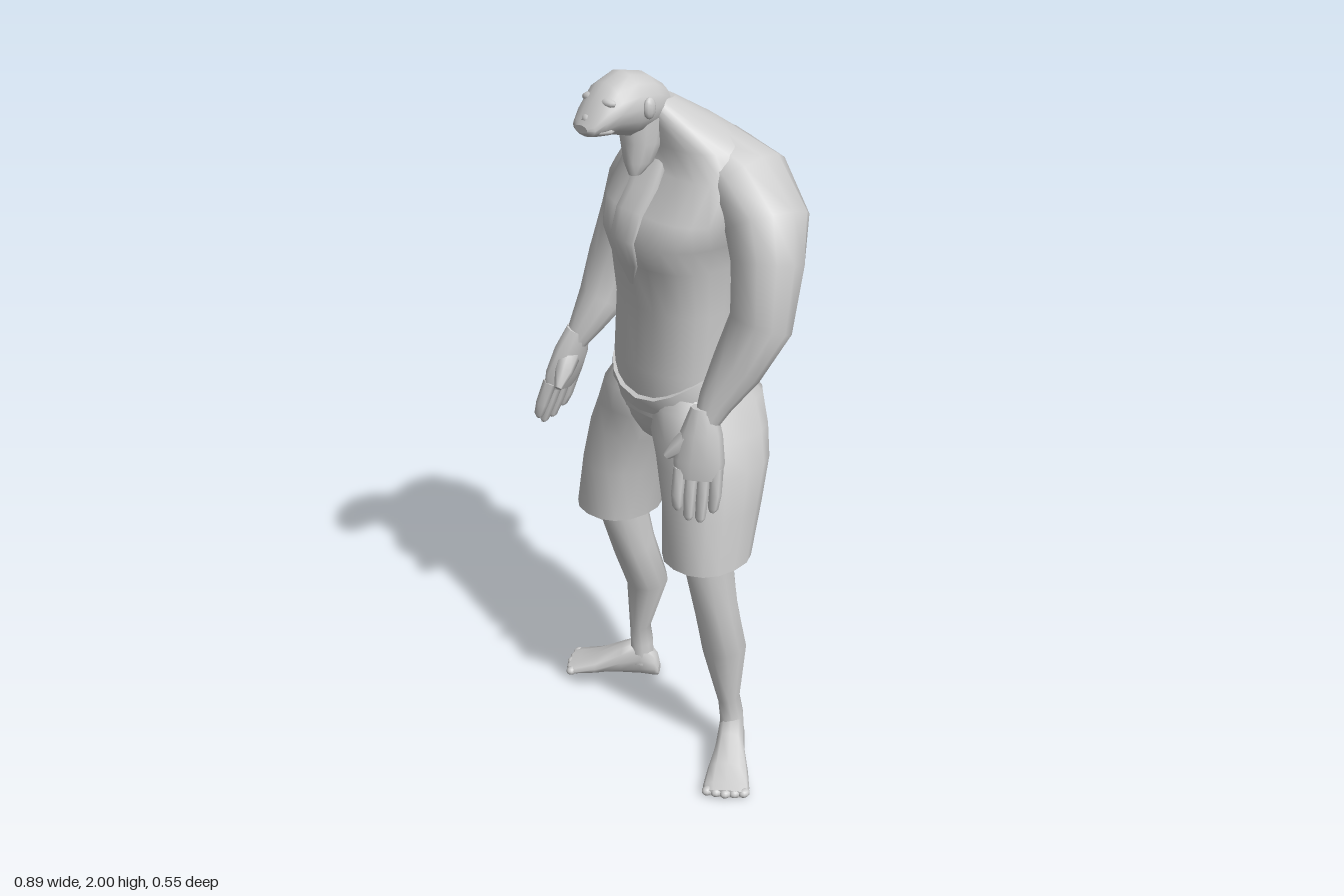
import * as THREE from 'three';

const V = (x, y, z) => new THREE.Vector3(x, y, z);
const grey = new THREE.MeshStandardMaterial({ color: 0xcccccc, side: THREE.DoubleSide });

// Skin through oval cross-sections [x, y, z, a, b, power]: a lies along ref, b across it.
// A fixed dir keeps every section parallel; power < 1 squares the ovals off.
function loft(name, rings, { n = 12, ref = V(1, 0, 0), dir = null, power = 1, bend = null } = {}) {
  const pos = [], idx = [];
  const at = rings.map(r => V(r[0], r[1], r[2]));
  const last = rings.length - 1;
  rings.forEach((r, i) => {
    const d = dir ? dir.clone() : at[Math.min(i + 1, last)].clone().sub(at[Math.max(i - 1, 0)]).normalize();
    const u = ref.clone().addScaledVector(d, -ref.dot(d)).normalize();
    const v = d.clone().cross(u);
    const bulge = t => Math.sign(t) * Math.abs(t) ** (r[5] ?? power);
    for (let j = 0; j < n; j++) {
      const t = j / n * Math.PI * 2;
      const p = at[i].clone().addScaledVector(u, bulge(Math.cos(t)) * r[3]).addScaledVector(v, bulge(Math.sin(t)) * r[4]);
      if (bend) bend(p);
      pos.push(p.x, p.y, p.z);
    }
  });
  for (let i = 0; i < last; i++) for (let j = 0; j < n; j++) {
    const a = i * n + j, b = i * n + (j + 1) % n;
    idx.push(a, b, a + n, b, b + n, a + n);
  }
  // end caps on their own vertices, so the rims stay sharp
  for (const [i, flip] of [[0, true], [last, false]]) {
    const base = pos.length / 3, c = V(0, 0, 0);
    for (let j = 0; j < n; j++) {
      const k = (i * n + j) * 3;
      pos.push(pos[k], pos[k + 1], pos[k + 2]);
      c.add(V(pos[k], pos[k + 1], pos[k + 2]));
    }
    c.divideScalar(n);
    pos.push(c.x, c.y, c.z);
    for (let j = 0; j < n; j++) {
      const p = base + j, q = base + (j + 1) % n;
      idx.push(base + n, flip ? q : p, flip ? p : q);
    }
  }
  const g = new THREE.BufferGeometry();
  g.setAttribute('position', new THREE.Float32BufferAttribute(pos, 3));
  g.setIndex(idx);
  g.computeVertexNormals();
  const m = new THREE.Mesh(g, grey);
  m.name = name;
  return m;
}

function blob(name, x, y, z, sx, sy, sz) {
  const m = new THREE.Mesh(new THREE.SphereGeometry(1, 10, 8), grey);
  m.name = name;
  m.position.set(x, y, z);
  m.scale.set(sx, sy, sz);
  return m;
}

function group(name, ...parts) {
  const g = new THREE.Group();
  g.name = name;
  g.add(...parts);
  return g;
}

// Palm, four fingers and a thumb, fanned along the spread direction
function hand(name, wrist, tip, spread, thumb) {
  const along = (t, s = 0) => wrist.clone().lerp(tip, t).addScaledVector(spread, s);
  const ring = (p, a, b) => [p.x, p.y, p.z, a, b];
  const g = group(name, loft('palm', [
    ring(along(-0.15), 0.034, 0.034), ring(along(0.1), 0.056, 0.042),
    ring(along(0.38), 0.068, 0.034), ring(along(0.56), 0.061, 0.022)], { n: 10, ref: spread }));
  [0.88, 0.98, 1, 0.9].forEach((len, i) => {
    const s = (i - 1.5) * 0.032;
    g.add(loft('finger', [
      ring(along(0.45, s), 0.0185, 0.021), ring(along(0.72, s * 1.05), 0.017, 0.019),
      ring(along(len - 0.04, s), 0.014, 0.014), ring(along(len, s * 0.95), 0.007, 0.007)], { n: 6, ref: spread }));
  });
  const root = along(0.06), mid = root.clone().lerp(thumb, 0.6);
  g.add(loft('thumb', [ring(root, 0.036, 0.036), ring(mid, 0.027, 0.027), ring(thumb, 0.011, 0.011)], { n: 7, ref: V(0, 0, 1) }));
  return g;
}

// Foot running from heel to toes, turned outwards
function foot(name, x, z, angle) {
  const f = V(Math.sin(angle), 0, Math.cos(angle)), side = V(f.z, 0, -f.x);
  const sections = [[-0.055, 0.03, 0.02], [-0.045, 0.07, 0.034], [0, 0.13, 0.038], [0.06, 0.1, 0.042],
    [0.14, 0.055, 0.058], [0.2, 0.034, 0.066], [0.225, 0.026, 0.062]];
  const g = group(name, loft('instep', sections.map(([t, h, w]) =>
    [x + f.x * t, h / 2 + 0.003, z + f.z * t, w, h / 2]), { n: 12, ref: side, dir: f, power: 0.85 }));
  for (let i = 0; i < 5; i++) {
    const s = (i - 2) * 0.026, reach = 0.223 - Math.abs(i - 2) * 0.004;
    g.add(blob('toe', x + f.x * reach + side.x * s, 0.016, z + f.z * reach + side.z * s, 0.015, 0.013, 0.018));
  }
  return g;
}

export function createModel() {
  const model = group('figure');
  const up = V(0, 1, 0);

  // Torso: hunched and broad across the shoulder blades, the left shoulder swung forward
  model.add(loft('torso', [
    [0, 1.06, 0.012, 0.172, 0.13], [0, 1.2, 0.015, 0.177, 0.136], [0, 1.37, 0, 0.178, 0.142],
    [0, 1.5, -0.015, 0.19, 0.18, 0.8], [0, 1.57, -0.03, 0.207, 0.215, 0.72], [0.005, 1.64, -0.06, 0.235, 0.217, 0.68],
    [0.005, 1.735, -0.085, 0.235, 0.168, 0.72], [0, 1.805, -0.045, 0.195, 0.125, 0.8], [-0.012, 1.865, 0.005, 0.118, 0.09],
    [-0.035, 1.92, 0.055, 0.055, 0.05]], {
    n: 24, dir: up, power: 0.85,
    bend: p => {
      const t = THREE.MathUtils.smoothstep(p.y, 1.3, 1.6) * (1 - THREE.MathUtils.smoothstep(p.y, 1.72, 1.85));
      if (p.z < -0.05) p.z += 0.045 * t * Math.exp(-((p.x / 0.08) ** 2));
      p.z += 0.09 * t * p.x;
    } }));
  // Bare chest showing in the open collar
  model.add(loft('openCollar', [
    [-0.015, 1.76, 0.075, 0.055, 0.012], [-0.01, 1.69, 0.118, 0.056, 0.013], [-0.01, 1.64, 0.157, 0.054, 0.012],
    [-0.01, 1.57, 0.183, 0.05, 0.011], [-0.012, 1.5, 0.164, 0.038, 0.01], [-0.012, 1.44, 0.15, 0.008, 0.006]],
  { n: 10, power: 0.8 }));

  // Head, pitched forward, with an open jaw
  const hx = -0.045;
  const head = group('head',
    loft('skull', [[hx, 1.9, 0.01, 0.025, 0.02], [hx, 1.9, 0.035, 0.06, 0.052], [hx, 1.91, 0.085, 0.08, 0.075],
      [hx, 1.915, 0.15, 0.084, 0.084], [hx, 1.912, 0.205, 0.074, 0.066], [hx, 1.893, 0.245, 0.058, 0.044],
      [hx, 1.876, 0.272, 0.044, 0.022], [hx, 1.874, 0.282, 0.024, 0.01]], { n: 16, dir: V(0, 0, 1) }),
    loft('jaw', [[-0.014, 1.733, 0.135, 0.014, 0.018], [-0.018, 1.765, 0.118, 0.036, 0.042],
      [-0.028, 1.815, 0.102, 0.056, 0.053], [-0.038, 1.88, 0.09, 0.068, 0.065]], { n: 12, dir: up }),
    blob('nose', hx, 1.895, 0.255, 0.02, 0.016, 0.02),
    blob('upperLip', hx, 1.868, 0.23, 0.057, 0.016, 0.044));
  for (const s of [-1, 1]) {
    head.add(blob('ear', hx + s * 0.083, 1.915, 0.13, 0.012, 0.028, 0.019),
      blob('brow', hx + s * 0.033, 1.936, 0.222, 0.028, 0.013, 0.016),
      blob('eye', hx + s * 0.032, 1.922, 0.233, 0.011, 0.008, 0.008));
  }
  model.add(head);

  // Arms grow out of the shoulder slope and hang differently on each side
  model.add(group('leftArm',
    loft('sleeve', [[0.08, 1.79, -0.05, 0.07, 0.08], [0.19, 1.728, -0.065, 0.092, 0.12], [0.272, 1.635, -0.058, 0.097, 0.122],
      [0.3, 1.54, -0.035, 0.092, 0.102], [0.32, 1.39, 0.005, 0.09, 0.075], [0.286, 1.27, 0.055, 0.074, 0.062],
      [0.262, 1.18, 0.105, 0.05, 0.045], [0.253, 1.11, 0.14, 0.03, 0.03]]),
    hand('leftHand', V(0.25, 1.125, 0.14), V(0.268, 0.852, 0.185), V(0.7, 0, -0.7), V(0.19, 1.03, 0.215))));
  model.add(group('rightArm',
    loft('sleeve', [[-0.08, 1.78, -0.07, 0.07, 0.08], [-0.18, 1.708, -0.105, 0.09, 0.122], [-0.247, 1.62, -0.108, 0.09, 0.12],
      [-0.288, 1.51, -0.092, 0.085, 0.098], [-0.335, 1.36, -0.058, 0.083, 0.075], [-0.335, 1.25, -0.005, 0.072, 0.063],
      [-0.347, 1.18, 0.045, 0.05, 0.045], [-0.362, 1.12, 0.08, 0.03, 0.03]]),
    hand('rightHand', V(-0.363, 1.13, 0.075), V(-0.427, 0.875, 0.135), V(0.12, 0, 0.99), V(-0.33, 1.02, 0.165))));

  // Shorts: waist dips at the front and rises at the back, legs meet in a soft crease
  const shorts = group('shorts', loft('hips', [
    [0, 0.955, -0.005, 0.05, 0.08], [0, 0.98, -0.012, 0.1, 0.12], [0, 1.03, -0.018, 0.205, 0.15],
    [0, 1.09, -0.02, 0.215, 0.168], [0, 1.2, 0.012, 0.185, 0.145]], {
    n: 20, dir: up, power: 0.85,
    bend: p => { if (p.y > 1.15) p.y = p.z > 0 ? 1.11 + 2.6 * p.x * p.x : 1.2 - 0.4 * p.z; } }));
  for (const s of [-1, 1]) {
    const dz = s < 0 ? -0.008 : 0.008;
    shorts.add(loft('shortsLeg', [
      [s * 0.195, 0.67, 0.062 + dz, 0.114, 0.122], [s * 0.18, 0.82, 0.03 + dz, 0.12, 0.142],
      [s * 0.15, 0.94, 0 + dz, 0.137, 0.154, 0.82], [s * 0.12, 1.02, -0.014 + dz, 0.132, 0.163, 0.76],
      [s * 0.102, 1.1, -0.018, 0.114, 0.163, 0.8], [s * 0.088, 1.17, -0.01, 0.088, 0.12]],
    { n: 16, dir: up, power: 0.88 }));
  }
  model.add(shorts);

  // Legs and outturned feet
  model.add(group('leftLeg',
    loft('shin', [[0.247, 0.05, 0.01, 0.034, 0.04], [0.244, 0.12, 0.01, 0.032, 0.038], [0.237, 0.18, 0.015, 0.027, 0.036],
      [0.222, 0.36, 0.025, 0.067, 0.064], [0.215, 0.5, 0.05, 0.06, 0.066], [0.208, 0.72, 0.085, 0.06, 0.08]], { n: 10 }),
    foot('leftFoot', 0.25, 0.015, 0.74)));
  model.add(group('rightLeg',
    loft('shin', [[-0.213, 0.05, -0.04, 0.034, 0.04], [-0.214, 0.12, -0.04, 0.032, 0.038], [-0.215, 0.18, -0.035, 0.027, 0.036],
      [-0.192, 0.36, -0.045, 0.064, 0.064], [-0.197, 0.5, 0, 0.057, 0.068], [-0.198, 0.72, 0.06, 0.058, 0.08]], { n: 10 }),
    foot('rightFoot', -0.215, -0.04, -0.9)));

  return model;
}
